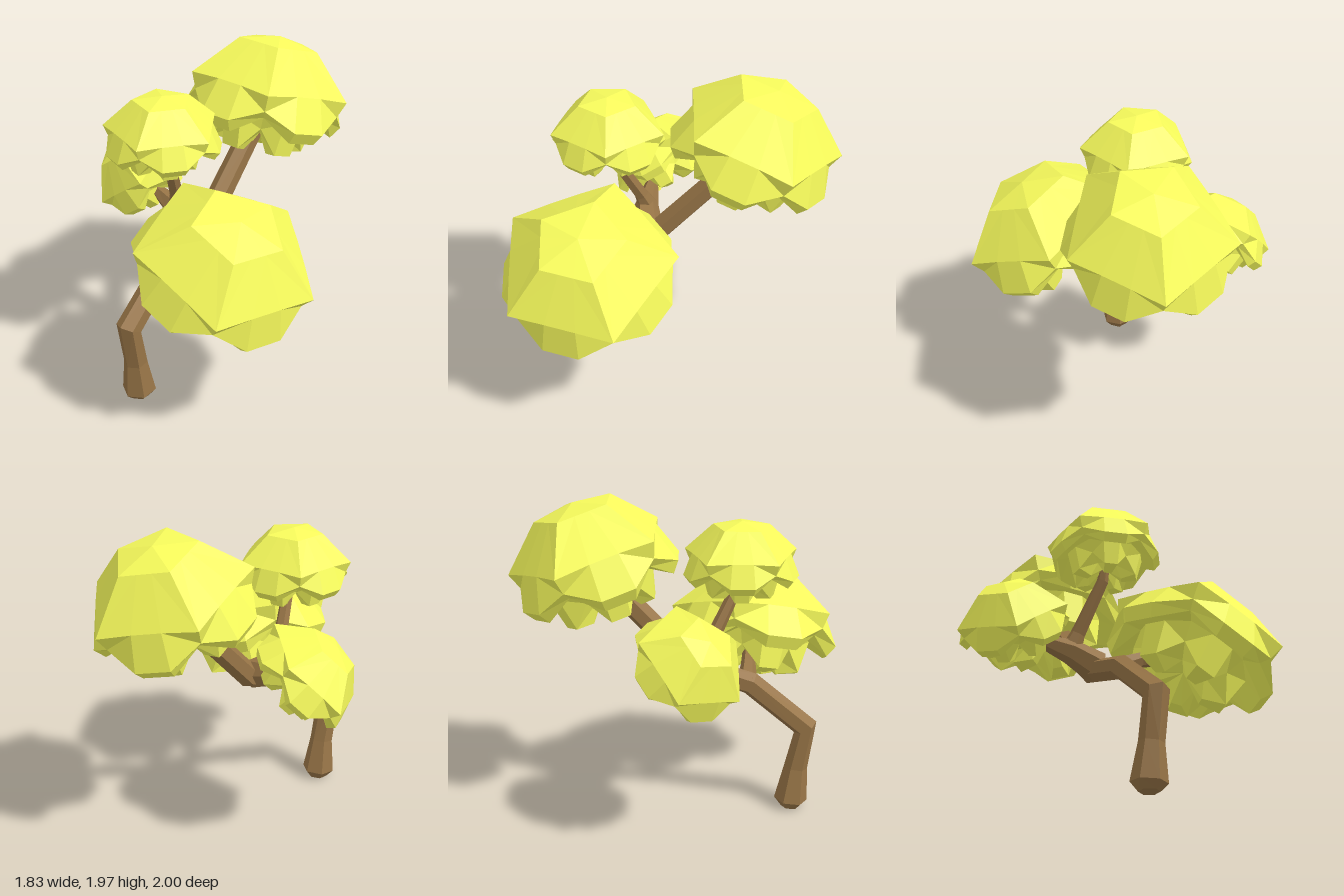
import * as THREE from 'three';

const bark = new THREE.MeshStandardMaterial({ color: 0x987547, flatShading: true });
const leaf = new THREE.MeshStandardMaterial({ color: 0xf8fc5c, flatShading: true, side: THREE.DoubleSide });

// Skin a stack of equal-sized rings, listed from top to bottom
function loft(rings) {
  const n = rings[0].length, pos = [];
  const tri = (...pts) => pts.forEach(p => pos.push(p.x, p.y, p.z));
  for (let i = 0; i < rings.length - 1; i++) {
    for (let j = 0; j < n; j++) {
      const k = (j + 1) % n;
      const a = rings[i][j], b = rings[i + 1][j], c = rings[i + 1][k], d = rings[i][k];
      if (j % 3 === 2) { tri(a, b, c); tri(a, c, d); }
      else { tri(a, b, d); tri(b, c, d); }
    }
  }
  const g = new THREE.BufferGeometry();
  g.setAttribute('position', new THREE.Float32BufferAttribute(pos, 3));
  g.computeVertexNormals();
  return g;
}

// Six-sided tapered limb through [x, y, z, radius] points
function limb(name, path) {
  const pts = path.map(p => new THREE.Vector3(p[0], p[1], p[2]));
  const zAxis = new THREE.Vector3(0, 0, 1);
  const last = pts.length - 1;
  const rings = pts.map((p, i) => {
    const t = pts[Math.min(i + 1, last)].clone().sub(pts[Math.max(i - 1, 0)]).normalize();
    const s = t.clone().cross(zAxis).normalize();
    const w = s.clone().cross(t);
    return Array.from({ length: 6 }, (_, j) => {
      const a = j * Math.PI / 3, r = path[i][3];
      return p.clone().addScaledVector(s, r * Math.sin(a)).addScaledVector(w, r * Math.cos(a));
    });
  });
  rings.unshift(Array(6).fill(pts[0]));
  rings.push(Array(6).fill(pts[last]));
  const mesh = new THREE.Mesh(loft(rings.reverse()), bark);
  mesh.name = name;
  return mesh;
}

// Leaf cap: pentagonal dome, five hanging flaps and a lumpy underside.
// Each row: corner radius, corner height, flap radius, flap height
const capRows = [
  [0, 0.74, 0, 0.74],
  [0.5, 0.66, 0.413, 0.66],
  [1, 0.2, 0.83, 0.22],
  [0.92, 0.02, 0.98, -0.15],
  [0.82, -0.06, 0.88, -0.28],
  [0.62, -0.04, 0.66, -0.12],
  [0.5, -0.24, 0.56, -0.5],
  [0.26, -0.32, 0.3, -0.54],
  [0, -0.3, 0, -0.3],
];

// size is [half width, height scale, half depth]; axis is where the dome points
function foliage(name, size, position, axis, spin) {
  const rings = capRows.map(row => Array.from({ length: 15 }, (_, j) => {
    const a = j * Math.PI * 2 / 15 + spin;
    const [r, y] = j % 3 ? row.slice(2) : row;
    return new THREE.Vector3(r * Math.sin(a) * size[0], y * size[1], r * Math.cos(a) * size[2]);
  }));
  const mesh = new THREE.Mesh(loft(rings), leaf);
  mesh.name = name;
  mesh.position.set(...position);
  mesh.quaternion.setFromUnitVectors(new THREE.Vector3(0, 1, 0), new THREE.Vector3(...axis).normalize());
  return mesh;
}

export function createModel() {
  const tree = new THREE.Group();
  tree.name = 'tree';

  // Leaning trunk and its side branches
  tree.add(
    limb('trunk', [
      [-0.075, 0, 0.71, 0.06], [-0.075, 0.05, 0.71, 0.104], [-0.07, 0.27, 0.735, 0.073],
      [-0.065, 0.54, 0.785, 0.077], [-0.07, 0.83, 0.44, 0.072], [-0.07, 0.95, 0.08, 0.075],
      [-0.07, 1.42, -0.36, 0.068], [-0.07, 1.53, -0.46, 0.05],
    ]),
    limb('frontBranch', [
      [-0.08, 0.83, 0.42, 0.065], [0.06, 0.91, 0.43, 0.045], [0.36, 0.98, 0.45, 0.035],
    ]),
    limb('sideBranch', [
      [-0.06, 0.95, 0.14, 0.1], [-0.25, 1.01, 0.15, 0.075], [-0.42, 1.05, 0.12, 0.042], [-0.56, 1.13, 0.08, 0.03],
    ]),
    limb('upperBranch', [
      [-0.24, 1.02, 0.14, 0.065], [-0.215, 1.12, 0.18, 0.045], [-0.13, 1.43, 0.33, 0.035], [-0.13, 1.56, 0.36, 0.03],
    ]),
  );

  // Four leaf caps, tilted away from the trunk
  tree.add(
    foliage('topFoliage', [0.495, 0.55, 0.51], [-0.065, 1.56, -0.49], [0, 0.951, -0.309], Math.PI),
    foliage('middleFoliage', [0.345, 0.35, 0.345], [-0.14, 1.6, 0.365], [0, 1, 0], Math.PI / 2),
    foliage('sideFoliage', [0.345, 0.345, 0.345], [-0.585, 1.145, 0.065], [-0.5, 0.72, 0.48], Math.PI + 0.2),
    foliage('largeFoliage', [0.54, 0.52, 0.54], [0.4, 1.02, 0.48], [0.4, 0.9, 0.08], Math.PI),
  );
  return tree;
}
